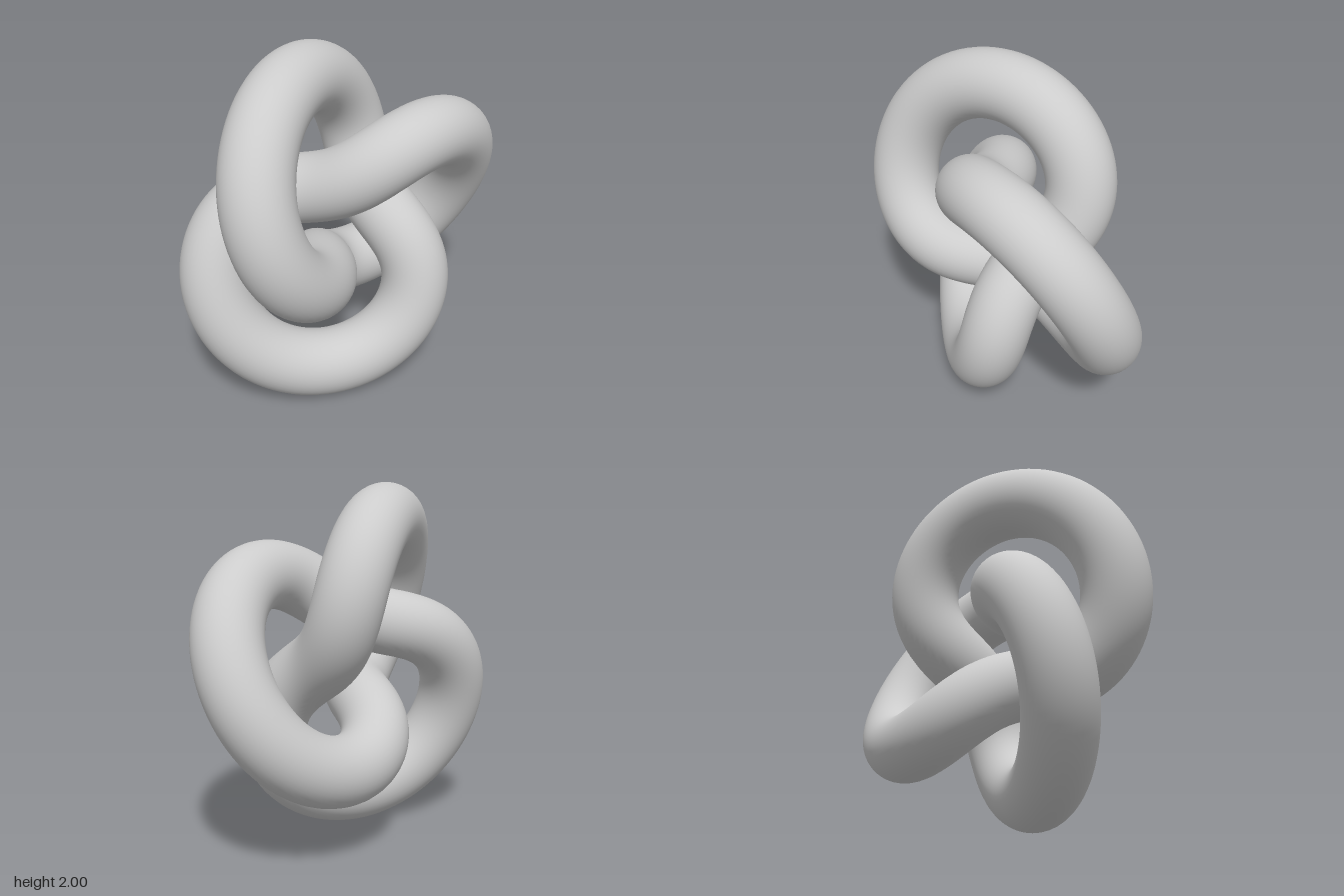
import * as THREE from 'three';

export function createModel() {
  const model = new THREE.Group();
  model.name = 'trefoilKnot';

  // Closed round tube winding twice around the axis with three lobes
  const geometry = new THREE.TorusKnotGeometry(0.572, 0.19, 300, 40, 2, 3);
  const material = new THREE.MeshStandardMaterial({ color: 0xcccccc });
  const knot = new THREE.Mesh(geometry, material);
  knot.name = 'knotTube';

  // Stand on the ground and centre on x
  geometry.computeBoundingBox();
  const box = geometry.boundingBox;
  const centre = box.getCenter(new THREE.Vector3());
  knot.position.set(-centre.x, -box.min.y, -centre.z);

  model.add(knot);
  return model;
}
